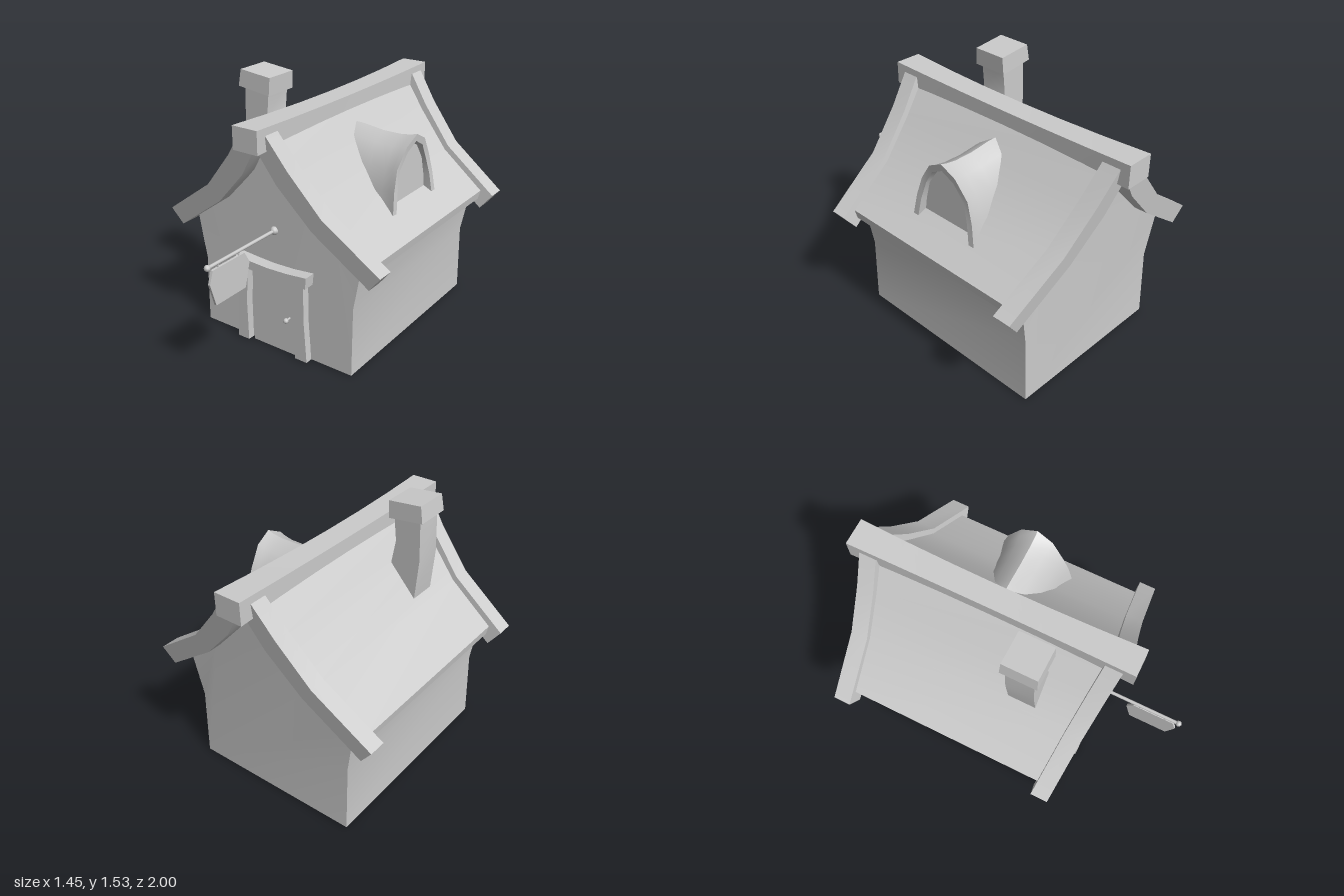
import * as THREE from 'three';
import { toCreasedNormals } from 'three/addons/utils/BufferGeometryUtils.js';

const material = new THREE.MeshStandardMaterial({ color: 0xcccccc });
const thin = new THREE.MeshStandardMaterial({ color: 0xcccccc, side: THREE.DoubleSide });

// Moves every vertex by a rule, then smooths all but the sharp edges.
function finish(geometry, rule, crease = 0.6) {
  const p = geometry.attributes.position, v = new THREE.Vector3();
  for (let i = 0; rule && i < p.count; i++) {
    rule(v.fromBufferAttribute(p, i));
    p.setXYZ(i, v.x, v.y, v.z);
  }
  return toCreasedNormals(geometry, crease);
}

const shapeOf = pts => new THREE.Shape(pts.map(([x, y]) => new THREE.Vector2(x, y)));

// Front outline extruded from z0 to z1.
function slab(pts, z0, z1, rule) {
  const g = new THREE.ExtrudeGeometry(shapeOf(pts), { depth: z1 - z0, bevelEnabled: false });
  return finish(g.translate(0, 0, z0), rule);
}

// Surface through rows of points.
function skin(rows) {
  const n = rows[0].length;
  const g = new THREE.PlaneGeometry(1, 1, n - 1, rows.length - 1);
  rows.forEach((row, i) => row.forEach((pt, j) => g.attributes.position.setXYZ(i * n + j, ...pt)));
  return finish(g);
}

const mirrorX = pts => pts.map(([x, y]) => [-x, y]).reverse();

export function createModel() {
  const house = new THREE.Group();
  const add = (name, geometry, mat = material) => {
    const m = new THREE.Mesh(geometry, mat);
    m.name = name;
    house.add(m);
    return m;
  };

  // Walls, open underneath
  const half = [[0.515, 0.01], [0.515, 0.42], [0.562, 0.68], [0.58, 0.71], [0.34, 0.89], [0.14, 1.11], [0, 1.29]];
  const outline = [...half, ...mirrorX(half.slice(0, -1))];
  const frontZ = y => (y < 0.42 ? 0.46 - y * 0.02 : 0.452);
  const backZ = y => (y < 0.42 ? -0.78 + y * 0.036 : -0.765 - (y - 0.42) * 0.05);
  add('frontWall', finish(new THREE.ShapeGeometry(shapeOf(outline)), v => { v.z = frontZ(v.y); }), thin);
  add('backWall', finish(new THREE.ShapeGeometry(shapeOf(outline)), v => { v.z = backZ(v.y); }), thin);
  for (const s of [1, -1]) {
    add(s > 0 ? 'leftWall' : 'rightWall', skin([half[2], half[1], half[0]].map(([x, y]) => {
      const row = [[s * x, y, frontZ(y)], [s * x, y, backZ(y)]];
      return s > 0 ? row : row.reverse();
    })), thin);
  }

  // Roof, with ends leaning outward towards the ridge
  const roofTop = [[0.645, 0.72], [0.37, 0.92], [0.178, 1.137], [0.06, 1.29], [0, 1.36]];
  const roofUnder = [[0, 1.28], [0.14, 1.1], [0.34, 0.88], [0.635, 0.668]];
  const roofLine = [...roofTop, ...mirrorX(roofTop.slice(0, -1)),
    ...mirrorX(roofUnder.slice(1)), ...roofUnder];
  add('roof', slab(roofLine, 0, 1, v => {
    const t = (v.y - 0.66) / 0.66;
    v.z = v.z > 0.5 ? 0.47 + 0.07 * t : -0.78 - 0.1 * t;
  }));

  // Curved gable boards: inner z at the eave and at the ridge
  const board = [[0.655, 0.615], [0.725, 0.705], [0.39, 0.945], [0.2, 1.168], [0.08, 1.337],
    [0.01, 1.243], [0.12, 1.07], [0.32, 0.857]];
  const boards = [
    ['frontLeftGableBoard', 1, 0.43, 0.505, 0.1], ['frontRightGableBoard', -1, 0.4, 0.5, 0.1],
    ['backLeftGableBoard', 1, -0.73, -0.835, -0.108], ['backRightGableBoard', -1, -0.747, -0.825, -0.1],
  ];
  for (const [name, s, low, high, depth] of boards) {
    const lean = v => { v.z += low + (high - low) * (v.y - 0.66) / 0.66; };
    add(name, slab(s > 0 ? board : mirrorX(board), Math.min(0, depth), Math.max(0, depth), lean));
  }

  // Sagging ridge beam
  const beam = new THREE.BoxGeometry(0.16, 0.13, 1.67, 1, 1, 6).translate(0, 1.315, -0.165);
  add('ridgeBeam', finish(beam, v => {
    const mid = 1 - ((v.z + 0.165) / 0.835) ** 2;
    v.x *= 1 - 0.14 * mid;
    v.y += (v.y > 1.315 ? -0.018 : 0.01) * mid;
  }));

  // Crooked chimney
  add('chimneyStack', slab([[-0.14, 0.9], [-0.17, 1.1], [-0.205, 1.28], [-0.19, 1.44],
    [-0.355, 1.45], [-0.36, 1.2], [-0.34, 1.0], [-0.33, 0.9]], 0.078, 0.242));
  add('chimneyCap', slab([[-0.17, 1.415], [-0.165, 1.515], [-0.365, 1.535], [-0.38, 1.44]], 0.057, 0.267,
    v => { if (v.y > 1.48) v.z = 0.162 + (v.z - 0.162) * 0.96; }));

  // Arched dormer with a flared lip
  const arch = pts => [...pts, ...mirrorX(pts.slice(0, -1))];
  const outer = arch([[0.232, 0.813], [0.21, 0.94], [0.172, 1.06], [0.096, 1.17], [0, 1.22]]);
  const inner = arch([[0.195, 0.813], [0.175, 0.93], [0.143, 1.04], [0.08, 1.135], [0, 1.178]]);
  const hoop = (pts, x, w, h, bow = 0) => pts.map(([z, y]) =>
    [x - bow * Math.max(0, 1 - Math.abs(y - 1.04) / 0.2), 0.813 + (y - 0.813) * h, -0.16 + z * w]);
  add('dormer', skin([
    hoop(outer, 0.06, 0.87, 1), hoop(outer, 0.17, 0.87, 0.99), hoop(outer, 0.3, 0.87, 0.95),
    hoop(outer, 0.41, 0.9, 0.95), hoop(outer, 0.47, 0.95, 0.97, 0.012), hoop(outer, 0.513, 1, 1, 0.022),
    hoop(inner, 0.513, 1, 1, 0.022), hoop(inner, 0.47, 0.96, 0.97, 0.012), hoop(inner, 0.35, 0.9, 0.95),
  ]), thin);
  const pane = new THREE.ShapeGeometry(shapeOf(inner.map(([z, y]) => [z * 0.98, y])));
  add('dormerWindow', pane.rotateY(Math.PI / 2).translate(0.468, 0, -0.16), thin);

  // Door with crooked frame
  const box = (w, h, d, x, y, z) => new THREE.BoxGeometry(w, h, d).translate(x, y, z);
  add('door', box(0.3, 0.48, 0.04, 0, 0.245, 0.455));
  const post = [[0.165, 0.008], [0.245, 0.008], [0.228, 0.25], [0.225, 0.5], [0.155, 0.5], [0.17, 0.25]];
  add('leftDoorPost', slab(post, 0.43, 0.503));
  add('rightDoorPost', slab(mirrorX(post.map(([x, y]) => [x + 0.006, y])), 0.43, 0.503));
  add('lintel', slab([[-0.25, 0.49], [0.255, 0.488], [0.262, 0.557], [0.13, 0.543], [0, 0.538],
    [-0.13, 0.543], [-0.262, 0.552]], 0.43, 0.525));
  add('doorKnob', new THREE.SphereGeometry(0.016, 8, 6).translate(0.11, 0.235, 0.51));
  add('knobStem', new THREE.CylinderGeometry(0.007, 0.007, 0.04, 6).rotateX(Math.PI / 2).translate(0.11, 0.235, 0.488));

  // Hanging sign on a pole
  const rod = (r, len) => new THREE.CylinderGeometry(r, r, len, 8);
  add('signPole', rod(0.01, 0.54).rotateX(Math.PI / 2).translate(0, 0.738, 0.72));
  add('poleTip', new THREE.SphereGeometry(0.018, 8, 6).translate(0, 0.738, 0.985));
  add('poleMount', new THREE.SphereGeometry(0.025, 8, 6).translate(0, 0.738, 0.455));
  for (const z of [0.75, 0.908]) add('signHanger', rod(0.005, 0.035).translate(0, 0.722, z));
  const sign = slab([[0.713, 0.508], [0.942, 0.508], [0.98, 0.64], [0.955, 0.713], [0.713, 0.713], [0.676, 0.648]],
    -0.007, 0.007);
  add('signBoard', sign.rotateY(-Math.PI / 2));

  return house;
}
